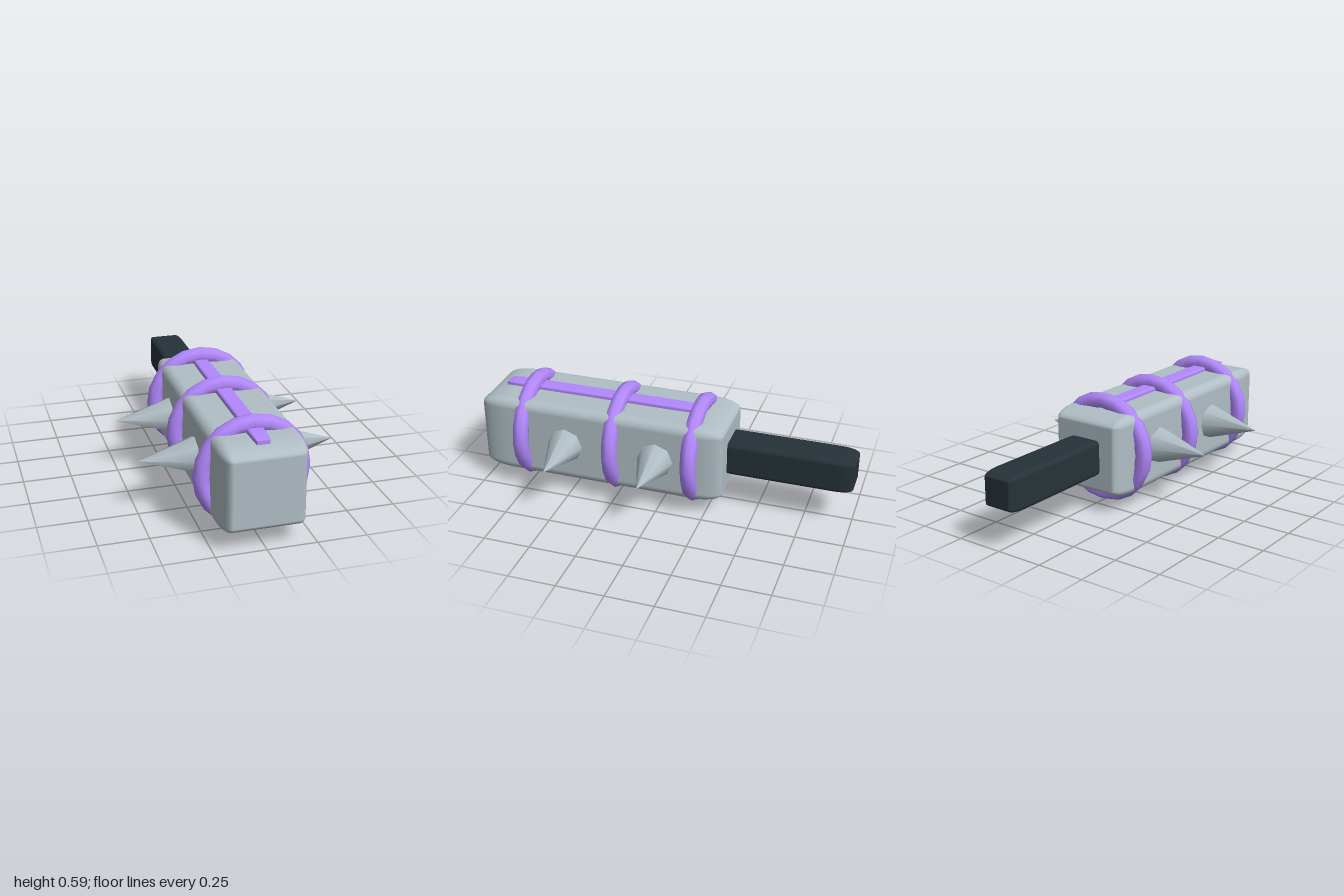
import * as THREE from 'three';
import { RoundedBoxGeometry } from 'three/addons/geometries/RoundedBoxGeometry.js';

const AXIS_Y = 0.297; // height of the club's long axis

export function createModel() {
  const group = new THREE.Group();
  const steel = new THREE.MeshStandardMaterial({ color: 0xb0bec5 });
  const purple = new THREE.MeshStandardMaterial({ color: 0xb388ff });
  const dark = new THREE.MeshStandardMaterial({ color: 0x263238 });

  const add = (name, geometry, material, x, y, z) => {
    const mesh = new THREE.Mesh(geometry, material);
    mesh.name = name;
    mesh.position.set(x, y, z);
    group.add(mesh);
    return mesh;
  };

  // Rounded bar stretched along z, so its end rounding is drawn out
  const bar = (name, material, w, h, z0, z1, radius, y = AXIS_Y) => {
    const geometry = new RoundedBoxGeometry(w, h, w, 4, radius);
    add(name, geometry, material, 0, y, (z0 + z1) / 2).scale.z = (z1 - z0) / w;
  };

  // Head and grip
  bar('head', steel, 0.43, 0.43, -0.34, 1, 0.05);
  bar('handle', dark, 0.186, 0.186, -1, -0.28, 0.025);

  // Raised strips along the top and the underside
  for (const side of [1, -1]) {
    bar(side > 0 ? 'topStrip' : 'bottomStrip', purple,
      0.084, 0.084, -0.18, 0.92, 0.012, AXIS_Y + side * 0.195);
  }

  // Three rings around the head
  for (const z of [-0.175, 0.255, 0.757]) {
    add('ring', new THREE.TorusGeometry(0.25, 0.043, 8, 20), purple, 0, AXIS_Y, z);
  }

  // Two spikes on each flank
  for (const side of [1, -1]) {
    for (const z of [0.013, 0.515]) {
      const spike = add('spike', new THREE.ConeGeometry(0.1, 0.3, 8), steel, side * 0.353, AXIS_Y, z);
      spike.rotation.z = -side * Math.PI / 2;
    }
  }
  return group;
}
